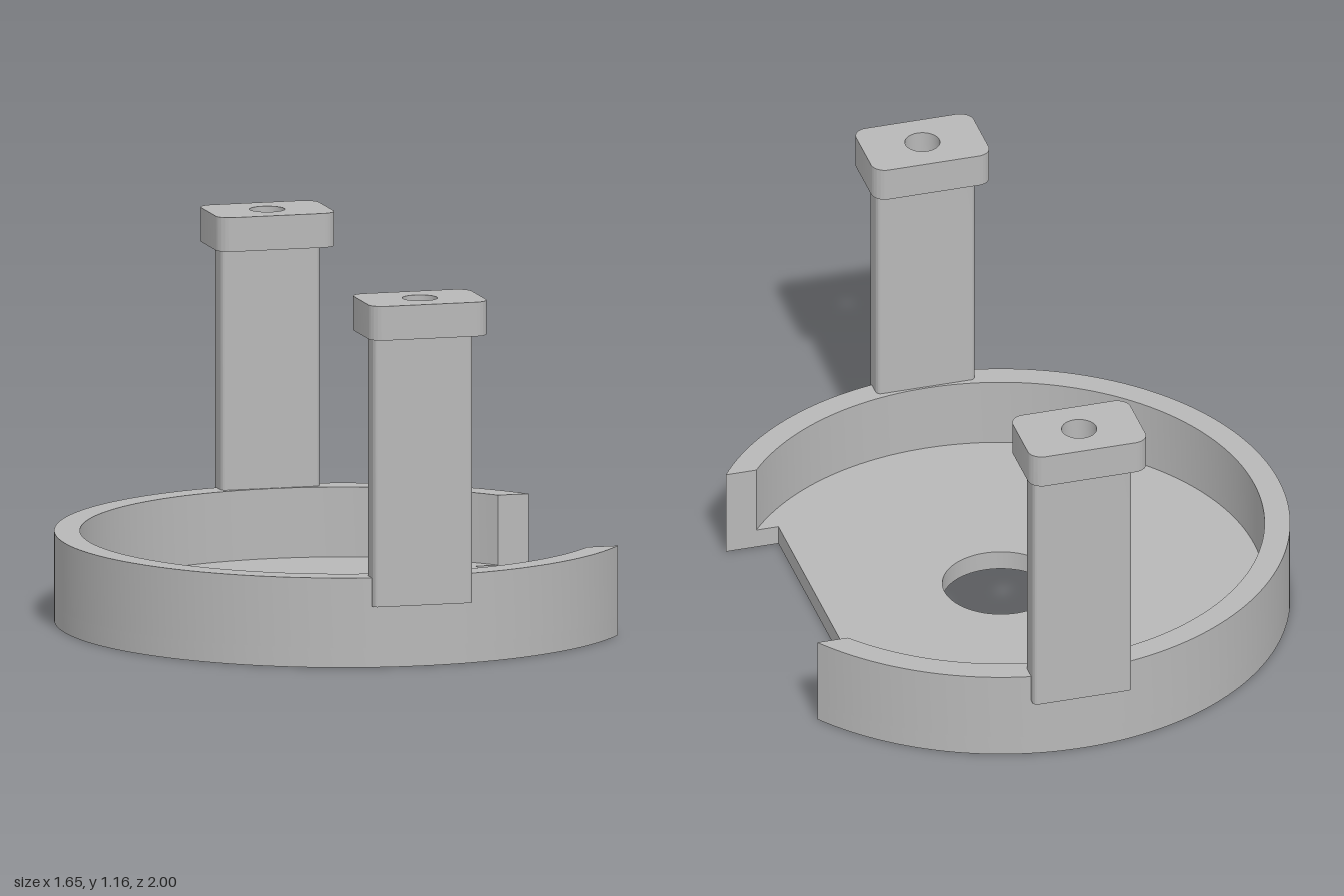
import * as THREE from 'three';
import { toCreasedNormals } from 'three/addons/utils/BufferGeometryUtils.js';

const CX = 0.077;           // axis of the round tray
const R = 0.902, RI = 0.822; // outer and inner wall radius
const GAP = 0.51;           // half width of the side opening

function roundedRect(w, d, r) {
  const s = new THREE.Shape(), x = w / 2, y = d / 2;
  s.absarc(x - r, y - r, r, 0, Math.PI / 2, false);
  s.absarc(-x + r, y - r, r, Math.PI / 2, Math.PI, false);
  s.absarc(-x + r, -y + r, r, Math.PI, Math.PI * 1.5, false);
  s.absarc(x - r, -y + r, r, Math.PI * 1.5, Math.PI * 2, false);
  s.closePath();
  return s;
}

function circleHole(r) {
  return new THREE.Path().absarc(0, 0, r, 0, Math.PI * 2, true);
}

export function createModel() {
  const model = new THREE.Group();
  model.name = 'trayWithPosts';
  const grey = new THREE.MeshStandardMaterial({ color: 0xb8b8b8 });
  grey.name = 'plainGrey';

  // Extrudes a plan shape upward from y0 to y1
  function slab(name, shape, y0, y1, parent, curveSegments = 12) {
    const g = new THREE.ExtrudeGeometry(shape, { depth: y1 - y0, bevelEnabled: false, curveSegments });
    g.rotateX(-Math.PI / 2);
    const mesh = new THREE.Mesh(toCreasedNormals(g, 0.6), grey);
    mesh.name = name;
    mesh.position.y = y0;
    parent.add(mesh);
  }

  const tray = new THREE.Group();
  tray.name = 'tray';
  tray.position.x = CX;
  model.add(tray);

  // Floor with straight-cut side and central hole
  const a = Math.asin(GAP / R), b = Math.asin(GAP / RI);
  const floor = new THREE.Shape();
  floor.absarc(0, 0, R, a, Math.PI * 2 - a, false);
  floor.lineTo(0.573, -GAP);
  floor.lineTo(0.573, GAP);
  floor.closePath();
  floor.holes.push(circleHole(0.182));
  slab('floor', floor, 0, 0.062, tray, 72);

  // Open ring wall
  const wall = new THREE.Shape();
  wall.absarc(0, 0, R, a, Math.PI * 2 - a, false);
  wall.absarc(0, 0, RI, Math.PI * 2 - b, b, true);
  wall.closePath();
  slab('wall', wall, 0.062, 0.283, tray, 72);

  // Two posts with drilled caps; the drill bites slightly into the post
  const W = 0.16, D = 0.0435, HR = 0.055, c = 0.015;
  const t = Math.acos(D / HR);
  for (const side of [1, -1]) {
    const post = new THREE.Group();
    post.name = side > 0 ? 'frontPost' : 'backPost';
    post.position.set(CX, 0, side * 0.8725);
    model.add(post);
    slab('postShaft', roundedRect(W * 2, D * 2, c), 0.194, 1.04, post, 6);

    for (const m of [0, Math.PI]) {
      const half = new THREE.Shape();
      half.absarc(W - c, D - c, c, 0, Math.PI / 2, false);
      half.absarc(0, 0, HR, Math.PI / 2 - t, t - Math.PI / 2, true);
      half.absarc(W - c, -D + c, c, -Math.PI / 2, 0, false);
      half.closePath();
      const holder = new THREE.Group();
      holder.name = 'postTop';
      holder.rotation.y = m;
      post.add(holder);
      slab('postTopHalf', half, 1.04, 1.05, holder);
    }

    const cap = roundedRect(0.382, 0.255, 0.045);
    cap.holes.push(circleHole(HR));
    slab('cap', cap, 1.05, 1.158, post, 16);
  }
  return model;
}
